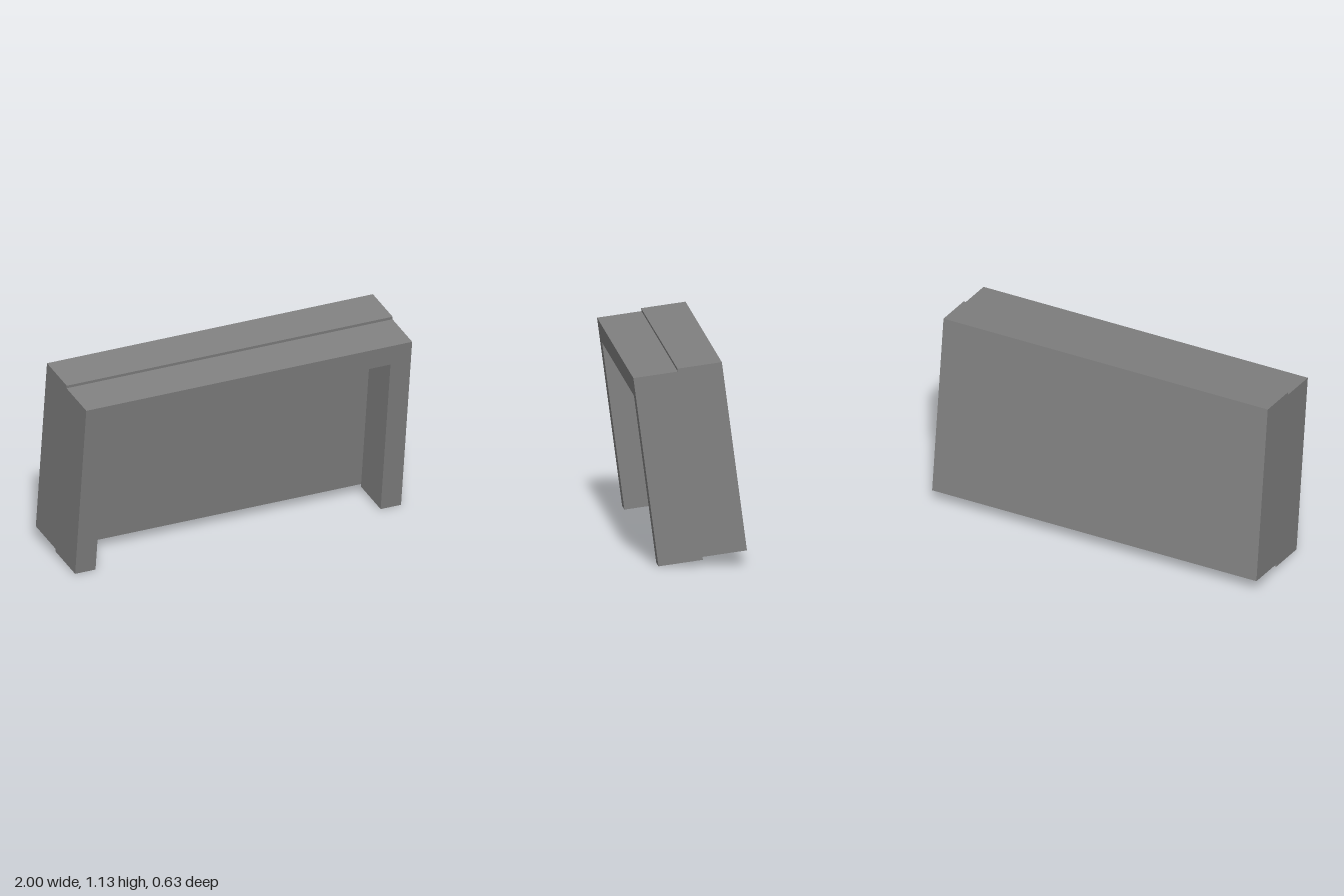
import * as THREE from 'three';

export function createModel() {
  const model = new THREE.Group();
  const grey = new THREE.MeshStandardMaterial({ color: 0x808080 });
  grey.name = 'grey';

  // The whole body leans forward
  const body = new THREE.Group();
  body.name = 'leaningBody';
  body.rotation.x = 0.131;
  body.position.y = 0.5675;
  model.add(body);

  const depth = 0.248, low = 0.523, high = 0.5395;

  // Front frame: two legs joined by a top bar, set slightly lower than the panel
  const outline = new THREE.Shape([
    [-1, -high], [-0.875, -high], [-0.875, 0.403], [0.875, 0.403],
    [0.875, -high], [1, -high], [1, low], [-1, low],
  ].map(([x, y]) => new THREE.Vector2(x, y)));
  const frame = new THREE.Mesh(
    new THREE.ExtrudeGeometry(outline, { depth, bevelEnabled: false }), grey);
  frame.name = 'frontFrame';
  body.add(frame);

  // Solid panel behind the frame, set slightly higher
  const panel = new THREE.Mesh(new THREE.BoxGeometry(2, low + high, depth), grey);
  panel.name = 'backPanel';
  panel.position.set(0, (high - low) / 2, -depth / 2);
  body.add(panel);

  return model;
}
